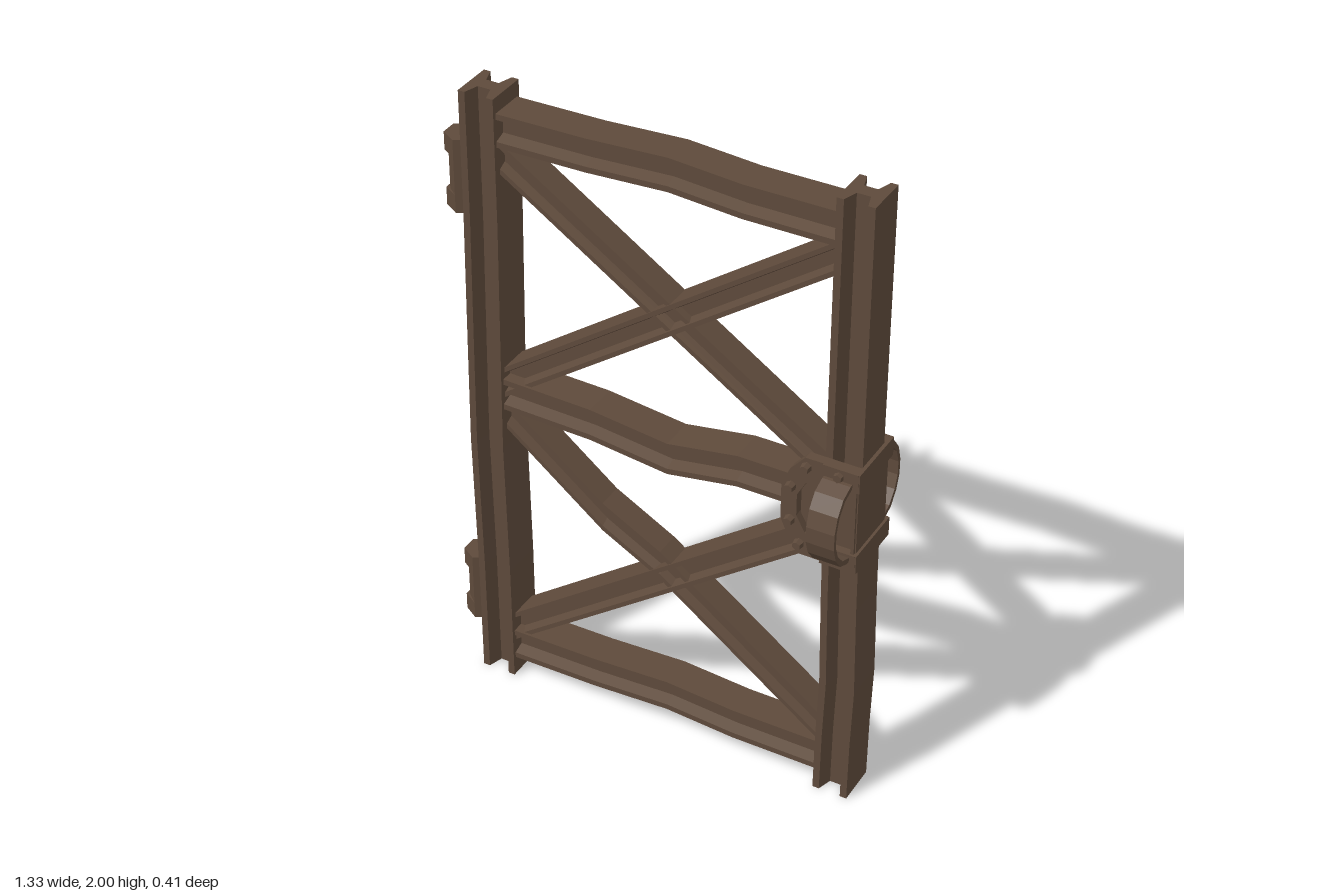
import * as THREE from 'three';

const brown = new THREE.MeshStandardMaterial({ color: 0x5e4a3b });
brown.name = 'rusty brown';

function add(parent, name, geometry, x = 0, y = 0, z = 0) {
  const mesh = new THREE.Mesh(geometry, brown);
  mesh.name = name;
  mesh.position.set(x, y, z);
  parent.add(mesh);
  return mesh;
}

// I-shaped section: h half height, d half depth, tapered flanges, thin web
function iSection(h, d, tip, root, web) {
  const half = [[-h, -d], [-h + tip, -d], [-h + root, -web], [h - root, -web], [h - tip, -d], [h, -d]];
  return [...half, ...half.map(([u, w]) => [-u, -w])];
}

// Sweep a section along a bent path; posts run downward (offset in x), rails run to +x (offset in y)
function beam(path, section, upright) {
  const rings = path.map(([x, y]) => section.map(([u, w]) =>
    upright ? [x + u, y, w] : [x, y + u, w]));
  const out = [];
  const tri = (a, b, c) => out.push(...a, ...b, ...c);
  const n = section.length;
  for (let k = 0; k < rings.length - 1; k++) {
    const a = rings[k], b = rings[k + 1];
    for (let i = 0; i < n; i++) {
      const j = (i + 1) % n;
      tri(a[i], a[j], b[j]);
      tri(a[i], b[j], b[i]);
    }
  }
  const faces = THREE.ShapeUtils.triangulateShape(section.map(p => new THREE.Vector2(...p)), []);
  const first = rings[0], last = rings[rings.length - 1];
  for (const [a, b, c] of faces) {
    tri(first[c], first[b], first[a]);
    tri(last[a], last[b], last[c]);
  }
  const g = new THREE.BufferGeometry();
  g.setAttribute('position', new THREE.Float32BufferAttribute(out, 3));
  g.computeVertexNormals();
  return g;
}

const outline = pts => new THREE.Shape(pts.map(p => new THREE.Vector2(...p)));
const extrude = (shape, depth) => new THREE.ExtrudeGeometry(shape, { depth, bevelEnabled: false });

function buildFrame(root) {
  const frame = new THREE.Group();
  frame.name = 'frame';
  root.add(frame);

  // Upright posts
  const post = iSection(0.055, 0.066, 0.021, 0.035, 0.021);
  add(frame, 'hingePost', beam([[-0.533, 2], [-0.533, 1.6], [-0.54, 1.1], [-0.543, 0.85], [-0.535, 0.4], [-0.533, 0]], post, true));
  add(frame, 'latchPost', beam([[0.6, 2], [0.6, 0.9], [0.602, 0.7], [0.608, 0.4], [0.602, 0.2], [0.6, 0]], post, true));

  // Bent horizontal rails
  const rail = iSection(0.052, 0.055, 0.018, 0.03, 0.02);
  for (const [name, y, bend] of [['topRail', 1.9, 0.016], ['middleRail', 1.036, -0.037], ['bottomRail', 0.114, 0.016]]) {
    add(frame, name, beam([[-0.49, y], [-0.2, y + bend * 0.2], [0.05, y + bend], [0.27, y], [0.555, y]], rail, false));
  }

  // Diagonal braces
  const front = iSection(0.051, 0.047, 0.017, 0.029, 0.018);
  const rear = iSection(0.049, 0.042, 0.017, 0.029, 0.016);
  add(frame, 'upperRisingBrace', beam([[-0.49, 1.07], [0.555, 1.815]], front, false));
  add(frame, 'lowerRisingBrace', beam([[-0.49, 0.17], [0.555, 0.935]], front, false));
  add(frame, 'upperFallingBrace', beam([[-0.49, 1.815], [0.555, 1.125]], rear, false));
  add(frame, 'lowerFallingBrace', beam([[-0.49, 0.96], [-0.17, 0.705], [0.02, 0.6], [0.555, 0.205]], rear, false));
}

function buildHinges(root) {
  const profile = tipX => outline([[tipX, -0.025], [-0.622, -0.053], [-0.585, -0.034],
    [-0.585, 0.034], [-0.622, 0.053], [tipX, 0.025]]);
  for (const y of [0.16, 1.6]) {
    const hinge = new THREE.Group();
    hinge.name = 'hinge';
    hinge.position.y = y;
    root.add(hinge);
    // Pin between two wider knuckles
    const pin = add(hinge, 'hingePin', extrude(profile(-0.655), 0.13), 0, 0.05);
    pin.rotation.x = -Math.PI / 2;
    for (const ky of [0, 0.175]) {
      const knuckle = add(hinge, 'hingeKnuckle', extrude(profile(-0.668), 0.056), 0, ky);
      knuckle.rotation.x = -Math.PI / 2;
    }
  }
}

function buildLatch(root) {
  const latch = new THREE.Group();
  latch.name = 'latch';
  root.add(latch);

  // Side plate with a round-ended recess
  const plate = outline([[0.655, 0.862], [0.655, 1.192], [0.5, 1.192], [0.455, 1.14], [0.43, 1.08],
    [0.43, 0.965], [0.455, 0.91], [0.49, 0.862]]);
  plate.holes.push(new THREE.Path([[0.645, 0.915], [0.555, 0.915], [0.505, 0.94], [0.478, 0.99],
    [0.478, 1.06], [0.505, 1.11], [0.555, 1.138], [0.645, 1.138]].map(p => new THREE.Vector2(...p))));
  const plateGeo = extrude(plate, 0.03);
  const boltGeo = new THREE.CylinderGeometry(0.013, 0.016, 0.02, 6).rotateX(Math.PI / 2).toNonIndexed();
  boltGeo.computeVertexNormals();
  const bolts = [[0.505, 1.163], [0.605, 1.17], [0.46, 1.085], [0.46, 0.972], [0.49, 0.9], [0.605, 0.885]];

  // Handle arch as (z, y): outer edge and matching inner edge
  const outer = [[0.085, 0.895], [0.115, 0.897], [0.157, 0.915], [0.188, 0.955], [0.203, 1.0],
    [0.203, 1.05], [0.188, 1.1], [0.157, 1.14], [0.115, 1.157], [0.085, 1.159]];
  const inner = outer.map(([z, y]) => [z < 0.1 ? z : z - 0.012, 1.027 + (y - 1.027) * 0.9]).reverse();

  for (const s of [1, -1]) {
    add(latch, 'latchPlate', plateGeo, 0, 0, s > 0 ? 0.068 : -0.098);
    add(latch, 'recessFloor', new THREE.BoxGeometry(0.17, 0.23, 0.008), 0.565, 1.027, s * 0.07);
    for (const [x, y] of bolts) {
      const bolt = add(latch, 'bolt', boltGeo, x, y, s * 0.108);
      if (s < 0) bolt.rotation.y = Math.PI;
    }
    const handle = add(latch, 'handle', extrude(outline([...outer, ...inner].map(([z, y]) => [s * z, y])), 0.085), 0.645);
    handle.rotation.y = -Math.PI / 2;
    // Strap ends folded over the plates
    for (const y of [0.89, 1.163]) {
      add(latch, 'strapEnd', new THREE.BoxGeometry(0.107, 0.06, 0.008), 0.6085, y, s * 0.101);
    }
  }

  // Outer panel and straps around the post
  add(latch, 'edgePanel', new THREE.BoxGeometry(0.008, 0.22, 0.18), 0.654, 1.027);
  for (const y of [0.89, 1.163]) {
    add(latch, 'strap', new THREE.BoxGeometry(0.011, 0.06, 0.208), 0.6605, y);
  }
}

export function createModel() {
  const root = new THREE.Group();
  root.name = 'gate';
  buildFrame(root);
  buildHinges(root);
  buildLatch(root);
  return root;
}
